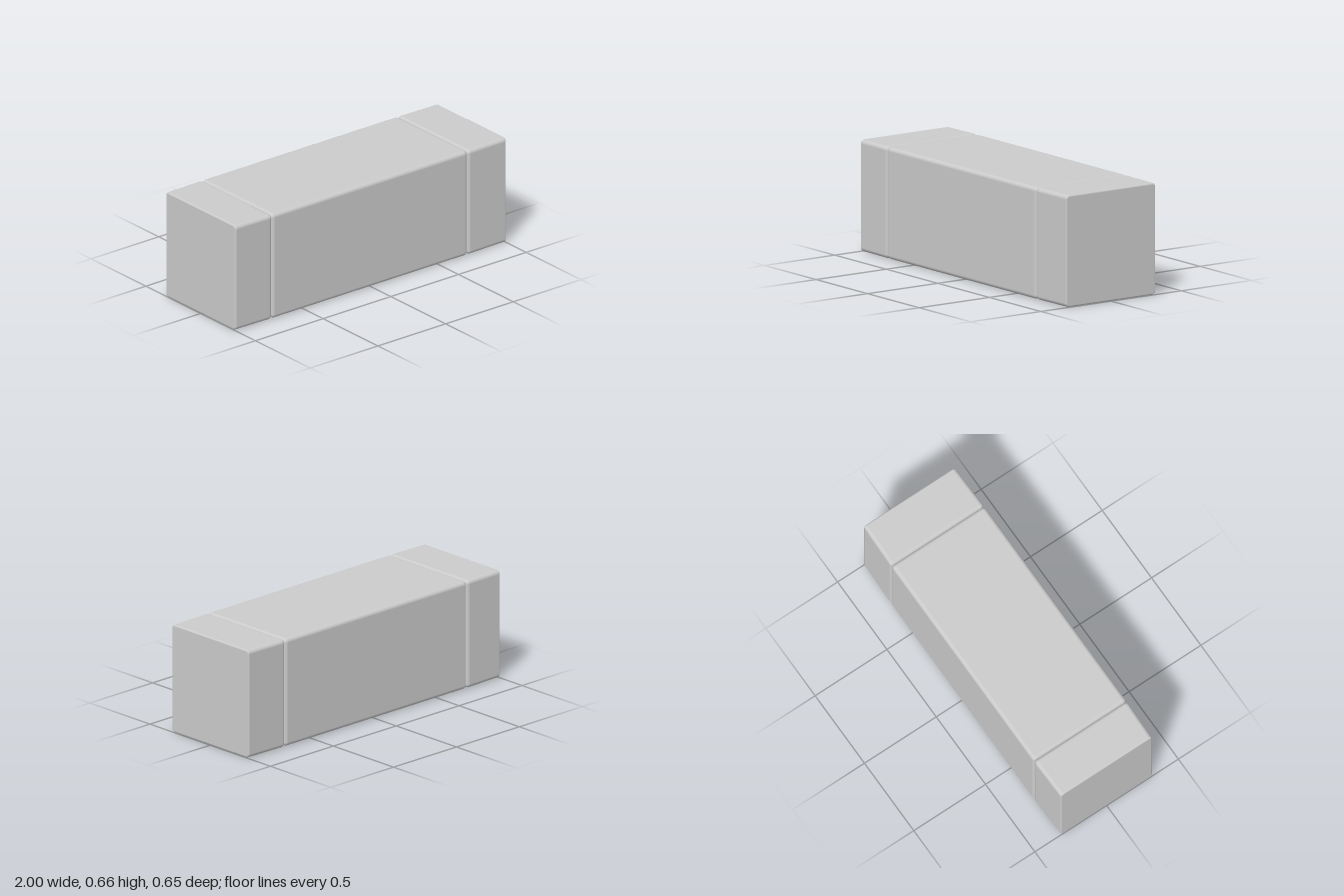
import * as THREE from 'three';

const HALF_Y = 0.328, HALF_Z = 0.325, EDGE = 0.024, STEPS = 5;

// Rounded rectangle in the y-z plane: corner signs plus outward direction
function sectionPoints() {
  const points = [];
  [[1, 1], [-1, 1], [-1, -1], [1, -1]].forEach(([sy, sz], corner) => {
    for (let k = 0; k <= STEPS; k++) {
      const a = (corner + k / STEPS) * Math.PI / 2;
      points.push({ sy, sz, dy: Math.cos(a), dz: Math.sin(a) });
    }
  });
  return points;
}

// Block lofted along x from x0 to x1, with its own rounding radius at each end.
// Its depth narrows slightly towards the outer ends of the model.
function blockGeometry(x0, r0, x1, r1) {
  const rings = [];
  for (let k = 0; k <= STEPS; k++) {
    const a = k / STEPS * Math.PI / 2;
    rings.push({ x: x0 + r0 * (1 - Math.cos(a)), inset: r0 * (1 - Math.sin(a)), nx: -Math.cos(a) });
  }
  for (let k = 0; k <= STEPS; k++) {
    const a = k / STEPS * Math.PI / 2;
    rings.push({ x: x1 - r1 * (1 - Math.sin(a)), inset: r1 * (1 - Math.cos(a)), nx: Math.sin(a) });
  }

  const section = sectionPoints(), n = section.length;
  const positions = [], normals = [], index = [];
  for (const { x, inset, nx } of rings) {
    const taper = 0.006 * Math.max(0, (Math.abs(x) - 0.8) / 0.2);
    const side = Math.sqrt(Math.max(0, 1 - nx * nx));
    for (const { sy, sz, dy, dz } of section) {
      positions.push(x,
        HALF_Y + sy * (HALF_Y - EDGE) + dy * (EDGE - inset),
        sz * (HALF_Z - EDGE - taper) + dz * (EDGE - inset));
      normals.push(nx, side * dy, side * dz);
    }
  }
  for (let i = 0; i < rings.length - 1; i++) {
    for (let j = 0; j < n; j++) {
      const a = i * n + j, b = i * n + (j + 1) % n;
      index.push(a, b, b + n, a, b + n, a + n);
    }
  }

  // Flat end faces
  const first = rings.length * n, last = (rings.length - 1) * n;
  positions.push(x0, HALF_Y, 0, x1, HALF_Y, 0);
  normals.push(-1, 0, 0, 1, 0, 0);
  for (let j = 0; j < n; j++) {
    const next = (j + 1) % n;
    index.push(first, next, j, first + 1, last + j, last + next);
  }

  const geometry = new THREE.BufferGeometry();
  geometry.setAttribute('position', new THREE.Float32BufferAttribute(positions, 3));
  geometry.setAttribute('normal', new THREE.Float32BufferAttribute(normals, 3));
  geometry.setIndex(index);
  return geometry;
}

export function createModel() {
  const group = new THREE.Group();
  group.name = 'segmentedBeam';
  const material = new THREE.MeshStandardMaterial({ color: 0xcccccc });

  // Three blocks butted together; their rounded rims form the two grooves
  const grooveR = -0.733, grooveL = 0.712, rim = 0.022, outer = 0.01;
  const blocks = [
    ['rightEndBlock', -1, outer, grooveR, rim],
    ['middleBlock', grooveR, rim, grooveL, rim],
    ['leftEndBlock', grooveL, rim, 1, outer],
  ];
  for (const [name, ...dims] of blocks) {
    const mesh = new THREE.Mesh(blockGeometry(...dims), material);
    mesh.name = name;
    group.add(mesh);
  }
  return group;
}
